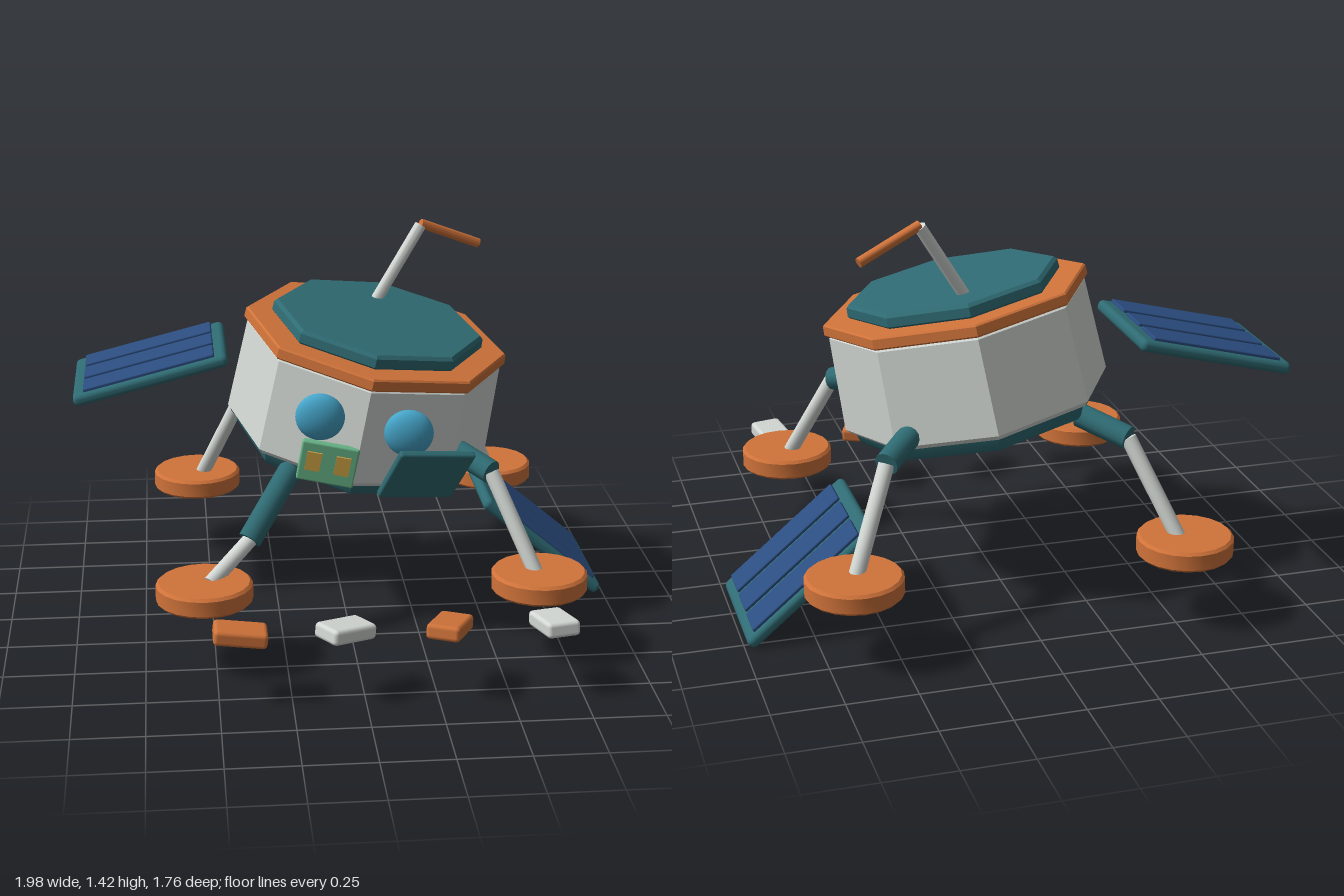
import * as THREE from 'three';
import { toCreasedNormals } from 'three/addons/utils/BufferGeometryUtils.js';
import { RoundedBoxGeometry } from 'three/addons/geometries/RoundedBoxGeometry.js';

const paint = (name, color) => {
  const m = new THREE.MeshStandardMaterial({ color });
  m.name = name;
  return m;
};

export function createModel() {
  const teal = paint('teal', 0x2f6b73);
  const orange = paint('orange', 0xd0733a);
  const white = paint('off white', 0xd3d8d4);
  const blue = paint('eye blue', 0x46a6cb);
  const navy = paint('cell navy', 0x2b4d80);
  const green = paint('panel green', 0x6ab78a);
  const yellow = paint('window yellow', 0xd0a445);

  const model = new THREE.Group();
  model.name = 'lander';

  function add(parent, name, geometry, material, pos = [0, 0, 0], rot = [0, 0, 0]) {
    const mesh = new THREE.Mesh(geometry, material);
    mesh.name = name;
    mesh.position.set(...pos);
    mesh.rotation.set(...rot);
    parent.add(mesh);
    return mesh;
  }

  // Closed prism with small bevels, from y0 to y1
  function prism(r0, r1, y0, y1, sides, bevel = 0.012) {
    const profile = [
      [0, y0], [r0 - bevel, y0], [r0, y0 + bevel],
      [r1, y1 - bevel], [r1 - bevel, y1], [0, y1],
    ].map(([x, y]) => new THREE.Vector2(x, y));
    return toCreasedNormals(new THREE.LatheGeometry(profile, sides), 0.5);
  }

  const box = (w, h, d, r) => new RoundedBoxGeometry(w, h, d, 2, r);

  // Round bar between two points
  function bar(parent, name, from, to, radius, material) {
    const a = new THREE.Vector3(...from), b = new THREE.Vector3(...to);
    const dir = b.clone().sub(a);
    const mesh = add(parent, name, toCreasedNormals(
      new THREE.CylinderGeometry(radius, radius, dir.length(), 14), 0.6), material);
    mesh.position.copy(a).add(b).multiplyScalar(0.5);
    mesh.quaternion.setFromUnitVectors(new THREE.Vector3(0, 1, 0), dir.normalize());
  }

  // Tilted eight-sided cabin
  const cabin = new THREE.Group();
  cabin.name = 'cabin';
  cabin.position.set(0.087, 0.879, -0.1);
  cabin.rotation.set(0.092, -0.12, -0.175);
  model.add(cabin);
  add(cabin, 'cabinBase', prism(0.445, 0.46, -0.262, -0.19, 8), teal);
  add(cabin, 'cabinWall', prism(0.488, 0.472, -0.212, 0.168, 8, 0.018), white);
  add(cabin, 'cabinRim', prism(0.486, 0.484, 0.16, 0.205, 8, 0.006), orange);
  add(cabin, 'cabinRoof', prism(0.39, 0.388, 0.2, 0.256, 8), teal);

  // Round eyes
  for (const side of [-1, 1]) {
    const eye = add(cabin, 'eye', new THREE.SphereGeometry(0.087, 28, 18), blue,
      [side * 0.158, 0.025, 0.465]);
    eye.scale.z = 0.5;
  }

  // Control plate with two small windows
  add(cabin, 'controlPlate', box(0.205, 0.152, 0.03, 0.008), green, [-0.1, -0.14, 0.475]);
  for (const x of [-0.152, -0.048]) {
    add(cabin, 'controlWindow', new THREE.BoxGeometry(0.053, 0.07, 0.008), yellow,
      [x, -0.135, 0.493]);
  }

  // Hatch leaning out from the front left wall
  const hatchMount = new THREE.Group();
  hatchMount.name = 'hatchMount';
  hatchMount.rotation.y = Math.PI / 8;
  cabin.add(hatchMount);
  add(hatchMount, 'hatch', box(0.29, 0.25, 0.03, 0.01), teal,
    [0.056, -0.124, 0.515], [0.47, 0, 0]);

  // Bent antenna
  bar(model, 'antennaMast', [0.13, 1.12, -0.28], [0.312, 1.413, -0.325], 0.022, white);
  bar(model, 'antennaTip', [0.312, 1.418, -0.325], [0.54, 1.323, -0.39], 0.018, orange);

  // Legs: foot centre, knee and hip
  const legs = [
    { name: 'backRightLeg', foot: [-0.537, -0.716], knee: [-0.375, 0.655, -0.555], hip: [-0.24, 0.705, -0.42] },
    { name: 'backLeftLeg', foot: [0.65, -0.716], knee: [0.495, 0.655, -0.555], hip: [0.37, 0.705, -0.42] },
    { name: 'frontRightLeg', foot: [-0.537, 0.47], knee: [-0.37, 0.425, 0.315], hip: [-0.2, 0.66, 0.17] },
    { name: 'frontLeftLeg', foot: [0.65, 0.47], knee: [0.495, 0.655, 0.315], hip: [0.37, 0.705, 0.18] },
  ];
  for (const { name, foot: [fx, fz], knee, hip } of legs) {
    const leg = new THREE.Group();
    leg.name = name;
    model.add(leg);
    add(leg, 'foot', prism(0.171, 0.171, 0.264, 0.338, 20, 0.01), orange, [fx, 0, fz]);
    const ankle = [fx + (fx < 0 ? 0.02 : -0.01), 0.32, fz + (fz < 0 ? 0.015 : -0.015)];
    bar(leg, 'strut', ankle, knee, 0.028, white);
    bar(leg, 'socket', knee, hip, 0.043, teal);
  }

  // Solar panels, one still raised and one drooping
  for (const [name, x, y, tilt] of [
    ['rightSolarPanel', -0.708, 0.911, 0.25],
    ['leftSolarPanel', 0.76, 0.21, -0.7],
  ]) {
    const panel = new THREE.Group();
    panel.name = name;
    panel.position.set(x, y, -0.295);
    panel.rotation.z = tilt;
    model.add(panel);
    add(panel, 'panelFrame', box(0.585, 0.045, 0.49, 0.02), teal);
    for (const z of [-0.159, 0, 0.159]) {
      add(panel, 'solarCell', box(0.495, 0.02, 0.132, 0.005), navy, [0, 0.024, z]);
    }
  }

  // Row of loose stepping blocks in front
  [[-0.425, 0], [-0.067, 0.6], [0.29, 1.15], [0.65, 1.79]].forEach(([x, turn], i) => {
    add(model, 'steppingBlock', box(0.185, 0.055, 0.12, 0.015), i % 2 ? white : orange,
      [x, 0.265, 0.77], [0, turn, -0.12]);
  });

  return model;
}
